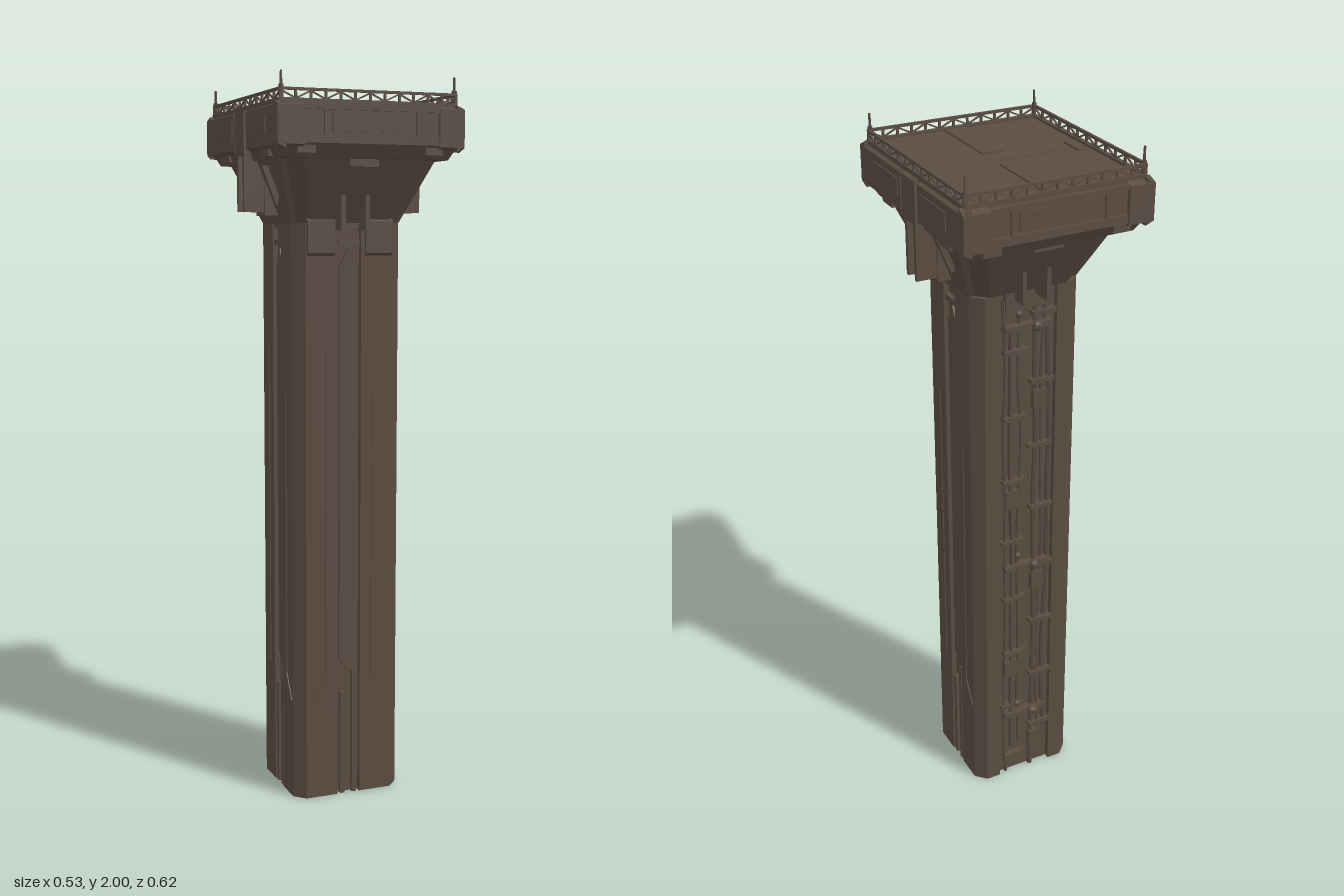
import * as THREE from 'three';

const brown = new THREE.MeshStandardMaterial({ color: 0x5a4c41 });
brown.name = 'weathered brown';
brown.flatShading = true;

let seed = 7;
const rnd = () => (seed = (seed * 16807) % 2147483647) / 2147483647;

function add(parent, name, geo, x = 0, y = 0, z = 0) {
  const m = new THREE.Mesh(geo, brown);
  m.name = name;
  m.position.set(x, y, z);
  parent.add(m);
  return m;
}

// Box given by its extents
function box(parent, name, x0, x1, y0, y1, z0, z1) {
  return add(parent, name, new THREE.BoxGeometry(x1 - x0, y1 - y0, z1 - z0),
    (x0 + x1) / 2, (y0 + y1) / 2, (z0 + z1) / 2);
}

// Box whose outer (+z) face is shortened to give bevelled edges
function slab(parent, name, x0, x1, y0, y1, z0, z1) {
  const m = box(parent, name, x0, x1, y0, y1, z0, z1);
  const p = m.geometry.attributes.position;
  for (let i = 0; i < p.count; i++) if (p.getZ(i) > 0) p.setY(i, p.getY(i) * 0.82);
  m.geometry = m.geometry.toNonIndexed();
  m.geometry.computeVertexNormals();
  return m;
}

// Stack of chamfered rectangles [y, half x, half z, chamfer], capped at both ends
function loft(rings) {
  const pts = rings.map(([y, a, b, c]) =>
    [[a, b - c], [a - c, b], [c - a, b], [-a, b - c], [-a, c - b], [c - a, -b], [a - c, -b], [a, c - b]]
      .map(([x, z]) => [x, y, z]));
  const v = [];
  const tri = (...t) => t.forEach(q => v.push(...q));
  for (let r = 0; r < pts.length - 1; r++)
    for (let i = 0; i < 8; i++) {
      const j = (i + 1) % 8, lo = pts[r], hi = pts[r + 1];
      tri(lo[i], hi[i], lo[j]);
      tri(lo[j], hi[i], hi[j]);
    }
  const lo = pts[0], hi = pts[pts.length - 1];
  for (let i = 1; i < 7; i++) {
    tri(lo[0], lo[i], lo[i + 1]);
    tri(hi[0], hi[i + 1], hi[i]);
  }
  const g = new THREE.BufferGeometry();
  g.setAttribute('position', new THREE.Float32BufferAttribute(v, 3));
  g.computeVertexNormals();
  return g;
}

// Plan outline (x, z) extruded upwards
function column(points, y0, y1) {
  const s = new THREE.Shape(points.map(([x, z]) => new THREE.Vector2(x, -z)));
  const g = new THREE.ExtrudeGeometry(s, { depth: y1 - y0, bevelEnabled: false });
  g.rotateX(-Math.PI / 2);
  g.translate(0, y0, 0);
  return g;
}

// Group facing one side; its local +z points outward
function side(parent, name, turn) {
  const g = new THREE.Group();
  g.name = name;
  g.rotation.y = turn * Math.PI / 2;
  parent.add(g);
  return g;
}

const HX = 0.158, HZ = 0.146, BASE = 1.62, TOP = 1.79;

function buildShaft(root) {
  const c = 0.03, d = 0.016, g = 0.034, w = 0.085;
  // Chamfered plan with a channel in every face, wider at the back
  add(root, 'shaft', column([
    [HX, HZ - c], [HX - c, HZ], [g, HZ], [g, HZ - d], [-g, HZ - d], [-g, HZ], [c - HX, HZ],
    [-HX, HZ - c], [-HX, g], [d - HX, g], [d - HX, -g], [-HX, -g], [-HX, c - HZ],
    [c - HX, -HZ], [-w, -HZ], [-w, d - HZ], [w, d - HZ], [w, -HZ], [HX - c, -HZ],
    [HX, c - HZ], [HX, -g], [HX - d, -g], [HX - d, g], [HX, g]], 0, BASE));

  [[0, HZ], [1, HX], [3, HX]].forEach(([turn, dist]) => {
    const f = side(root, 'shaftFace', turn);
    // Long inlay with pointed ends inside the channel
    const inlay = new THREE.Shape([[-0.026, 0.4], [0, 0.36], [0.026, 0.4], [0.026, 1.5], [0, 1.55], [-0.026, 1.5]]
      .map(p => new THREE.Vector2(...p)));
    add(f, 'channelInlay', new THREE.ExtrudeGeometry(inlay, { depth: 0.01, bevelEnabled: false }), 0, 0, dist - 0.018);
    [-1, 1].forEach(s => {
      box(f, 'lowerConduit', s * 0.018 - 0.007, s * 0.018 + 0.007, 0, 0.33 + s * 0.03, dist - 0.018, dist - 0.002);
      // Raised seam with a splayed foot
      const seam = [[0.067, 1.27 - (s + 1) * 0.06], [0.067, 0.35], [0.107, 0.28], [0.111, 0.283], [0.072, 0.353], [0.072, 1.27 - (s + 1) * 0.06]];
      const shape = new THREE.Shape(seam.map(([x, y]) => new THREE.Vector2(s * x, y)));
      add(f, 'seam', new THREE.ExtrudeGeometry(shape, { depth: 0.004, bevelEnabled: false }), 0, 0, dist - 0.001);
    });
    for (let i = 0; i < 5; i++)
      box(f, 'channelClip', -0.03, 0.03, 1.56 + i * 0.045, 1.575 + i * 0.045, dist - 0.02, dist - 0.002 + Math.max(0, i - 1) * 0.014);
  });
  // Thickened lip at the top of the front face
  const front = side(root, 'frontLip', 0);
  [-1, 1].forEach(s => slab(front, 'lipPad', s * 0.085 - 0.04, s * 0.085 + 0.04, 1.53, 1.635, HZ - 0.002, HZ + 0.01));
}

function buildBackPipes(root) {
  const b = side(root, 'backPipework', 2);
  const z = HZ - 0.011;
  [-0.066, -0.045, -0.02, 0.025, 0.048, 0.068].forEach((x, i) => {
    const y0 = i % 3 ? 0.05 + rnd() * 0.1 : 0, y1 = 1.6 - rnd() * 0.08, pts = [];
    for (let k = 0; k <= 8; k++)
      pts.push(new THREE.Vector3(x + (rnd() - 0.5) * 0.012, y0 + (y1 - y0) * k / 8, z + rnd() * 0.005));
    add(b, 'pipe', new THREE.TubeGeometry(new THREE.CatmullRomCurve3(pts), 40, 0.005 + (i % 2) * 0.003, 6));
  });
  // Clamps, junction boxes and valve wheels
  for (let i = 0; i < 16; i++) {
    const y = 0.06 + i * 0.099, x = (i % 2 ? 1 : -1) * (0.035 + rnd() * 0.015);
    box(b, 'clamp', x - 0.035, x + 0.035, y, y + 0.012, z - 0.008, z + 0.016);
    if (i % 3 === 0) box(b, 'junctionBox', -x - 0.02, -x + 0.02, y + 0.02, y + 0.075, z - 0.008, z + 0.013);
  }
  [0.23, 0.77, 1.52].forEach(y => {
    box(b, 'crossBar', -0.07, 0.07, y - 0.008, y + 0.008, z - 0.006, z + 0.02);
    add(b, 'valve', new THREE.SphereGeometry(0.015, 8, 6), 0.02, y, z + 0.022);
    add(b, 'valve', new THREE.SphereGeometry(0.01, 8, 6), -0.03, y + 0.04, z + 0.014);
  });
}

function buildCapital(root) {
  const flare = (half, slope, y) => half + (y - BASE) * slope;
  add(root, 'capital', loft([[BASE, HX - 0.016, HZ, 0.03],
    [TOP, flare(HX, 0.4, TOP) - 0.018, flare(HZ, 0.6, TOP), 0.04]]));
  // Sloping brace plates with triangular openings
  [1, 3].forEach(turn => {
    const f = side(root, 'bracePlate', turn - 1);
    const v = p => new THREE.Vector2(...p);
    const s = new THREE.Shape([[-0.116, BASE], [0.116, BASE], [0.21, TOP], [-0.21, TOP]].map(v));
    [-1, 1].forEach(k => s.holes.push(new THREE.Path(
      [[k * 0.055, 1.665], [k * 0.055, 1.775], [k * 0.165, 1.775], [k * 0.1, 1.69]].map(v))));
    const g = new THREE.ExtrudeGeometry(s, { depth: 0.02, bevelEnabled: false });
    g.rotateY(Math.PI / 2);
    const p = g.attributes.position;
    for (let i = 0; i < p.count; i++) p.setX(i, p.getX(i) + flare(HX, 0.4, p.getY(i)) - 0.02);
    g.computeVertexNormals();
    add(f, 'brace', g);
    // Central bracket reaching up over the deck edge
    const c = side(root, 'sideBracket', turn);
    box(c, 'bracketLeg', -0.036, 0.036, 1.64, 1.8, 0.15, 0.205);
    slab(c, 'bracketHead', -0.04, 0.04, 1.79, 1.93, 0.2, 0.265);
    [-1, 1].forEach(k => box(c, 'bracketRib', k * 0.025 - 0.006, k * 0.025 + 0.006, 1.65, 1.9, 0.2, 0.262));
  });
  // Ribs in the front and back channels
  [0, 2].forEach(turn => {
    const f = side(root, 'capitalChannel', turn);
    [-0.035, 0.035].forEach(x => box(f, 'channelRib', x - 0.006, x + 0.006, 1.6, TOP, 0.13, 0.19));
    box(f, 'channelCap', -0.041, 0.041, 1.765, TOP, 0.15, 0.25);
  });
}

function buildDeck(root) {
  add(root, 'deck', loft([[1.785, 0.235, 0.275, 0.01], [1.82, 0.252, 0.298, 0.01],
    [1.905, 0.252, 0.298, 0.01], [1.925, 0.242, 0.284, 0.01]]));
  [1, 3].forEach(turn => {
    const f = side(root, 'deckSide', turn);
    [-1, 1].forEach(s => {
      slab(f, 'sideBlock', s * 0.18 - 0.128, s * 0.18 + 0.128, 1.805, 1.925, 0.24, 0.263);
      box(f, 'sidePanel', s * 0.14 - 0.075, s * 0.14 + 0.075, 1.845, 1.895, 0.26, 0.266);
      box(f, 'underLug', s * 0.17 - 0.03, s * 0.17 + 0.03, 1.79, 1.815, 0.22, 0.25);
    });
  });
  [0, 2].forEach(turn => {
    const f = side(root, 'deckEnd', turn);
    [-1, 1].forEach(s => {
      slab(f, 'cornerBlock', s * 0.226 - 0.036, s * 0.226 + 0.036, 1.805, 1.925, 0.28, 0.31);
      box(f, 'panelDivider', s * 0.13 - 0.004, s * 0.13 + 0.004, 1.84, 1.91, 0.295, 0.305);
      box(f, 'underLug', s * 0.18 - 0.025, s * 0.18 + 0.025, 1.795, 1.815, 0.26, 0.296);
    });
    box(f, 'lowerBeam', -0.19, 0.19, 1.82, 1.842, 0.29, 0.306);
    box(f, 'upperBeam', -0.19, 0.19, 1.905, 1.918, 0.285, 0.306);
    box(f, 'centrePanel', -0.11, 0.11, 1.85, 1.898, 0.295, 0.302);
    // Raised walkway strip on the deck
    box(f, 'walkway', -0.032, 0.032, 1.92, 1.929, 0.047, 0.278);
  });
  box(root, 'deckSeam', -0.235, -0.03, 1.92, 1.927, -0.013, -0.01);
  box(root, 'deckSeam', -0.03, 0.02, 1.92, 1.927, -0.015, -0.012);
}

function buildRailing(root) {
  [[0, 0.247, 0.285], [1, 0.285, 0.247], [2, 0.247, 0.285], [3, 0.285, 0.247]].forEach(([turn, half, dist]) => {
    const f = side(root, 'railing', turn);
    box(f, 'kerb', -half, half, 1.915, 1.932, dist - 0.008, dist + 0.005);
    box(f, 'topRail', -half, half, 1.951, 1.958, dist - 0.004, dist + 0.004);
    const n = 12, step = 2 * half / n;
    for (let i = 0; i < n; i++) {
      const x = -half + i * step;
      box(f, 'railPost', x - 0.003, x + 0.003, 1.925, 1.955, dist - 0.003, dist + 0.003);
      const brace = box(f, 'railBrace', x, x + step, 1.939, 1.943, dist - 0.002, dist + 0.002);
      brace.rotation.z = (i % 2 ? 1 : -1) * 0.45;
    }
    // Corner mast
    add(f, 'mast', new THREE.CylinderGeometry(0.003, 0.005, 0.08, 6), half - 0.004, 1.96, dist - 0.003);
    add(f, 'mastFoot', new THREE.CylinderGeometry(0.007, 0.007, 0.04, 6), half - 0.004, 1.945, dist - 0.003);
  });
}

export function createModel() {
  const root = new THREE.Group();
  root.name = 'platformTower';
  buildShaft(root);
  buildBackPipes(root);
  buildCapital(root);
  buildDeck(root);
  buildRailing(root);
  return root;
}
